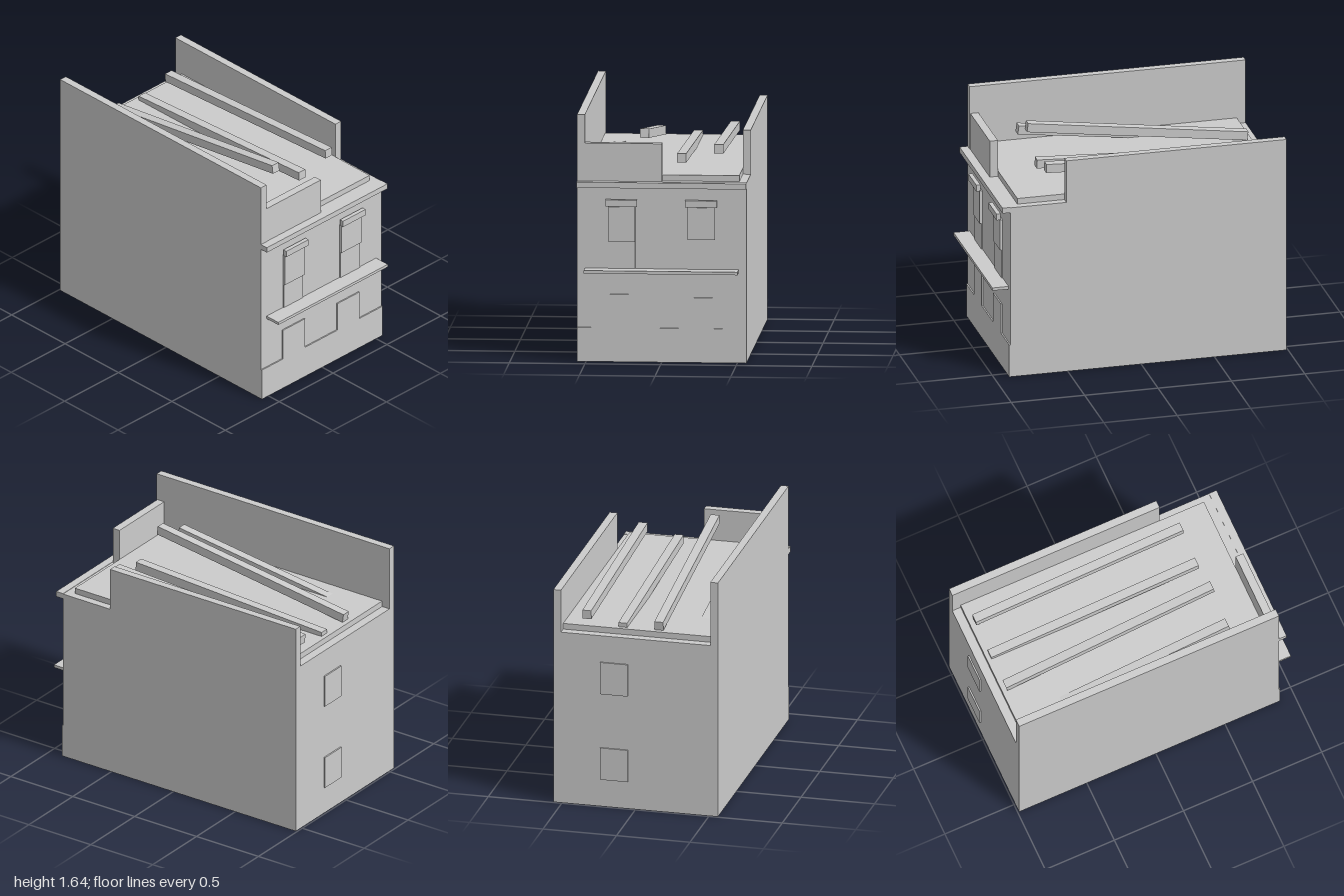
import * as THREE from 'three';

export function createModel() {
  const model = new THREE.Group();
  model.name = 'ruinedTownhouse';
  const plaster = new THREE.MeshStandardMaterial({ color: 0xcccccc });
  plaster.name = 'pale grey plaster';

  // Box given by its extents along each axis
  function block(name, x0, x1, y0, y1, z0, z1) {
    const mesh = new THREE.Mesh(new THREE.BoxGeometry(x1 - x0, y1 - y0, z1 - z0), plaster);
    mesh.position.set((x0 + x1) / 2, (y0 + y1) / 2, (z0 + z1) / 2);
    mesh.name = name;
    model.add(mesh);
    return mesh;
  }

  // Main body, party walls and roof
  block('body', -0.56, 0.56, 0, 1.2, -0.99, 0.89);
  block('tallSideWall', -0.56, -0.508, 1.2, 1.645, -0.99, 0.89);
  block('brokenSideWall', 0.508, 0.56, 1.2, 1.495, -0.99, 0.51);
  block('frontParapet', -0.508, 0, 1.2, 1.455, 0.83, 0.885);
  block('roofDeck', -0.508, 0.508, 1.2, 1.24, -0.93, 0.83);

  // Facade mouldings
  block('cornice', -0.56, 0.56, 1.165, 1.203, 0.89, 0.945);
  block('sillLedge', -0.508, 0.508, 0.602, 0.622, 0.89, 1.0);

  // Front windows: lower pane, raised upper shutter, lintel
  for (const [x0, x1, split] of [[-0.355, -0.175, 0.803], [0.17, 0.353, 0.82]]) {
    block('windowPane', x0, x1, 0.622, split, 0.89, 0.897);
    block('windowShutter', x0, x1, split, 1.035, 0.89, 0.908);
    block('windowLintel', x0 - 0.014, x1 + 0.013, 1.04, 1.085, 0.907, 0.935);
  }

  // Plinth with two raised door panels, cut as one outline
  const outline = [
    [-0.56, 0], [0.56, 0], [0.56, 0.227], [0.345, 0.227], [0.345, 0.433], [0.14, 0.433],
    [0.14, 0.227], [-0.16, 0.227], [-0.16, 0.45], [-0.365, 0.45], [-0.365, 0.227], [-0.56, 0.227],
  ];
  const shape = new THREE.Shape(outline.map(([x, y]) => new THREE.Vector2(x, y)));
  const plinth = new THREE.Mesh(
    new THREE.ExtrudeGeometry(shape, { depth: 0.009, bevelEnabled: false }), plaster);
  plinth.position.z = 0.89;
  plinth.name = 'plinthAndDoors';
  model.add(plinth);

  // Back windows
  for (const [y0, y1] of [[0.19, 0.413], [0.792, 1.015]]) {
    block('backWindow', 0.053, 0.24, y0, y1, -1.0, -0.99);
  }

  // Fallen roof beams: centre x, top height at the front and back ends
  const zFront = 0.6, zBack = -0.9, thick = 0.06;
  for (const [x, front, back] of [
    [-0.377, 1.4, 1.2], [-0.135, 1.51, 1.3], [0.11, 1.347, 1.27], [0.355, 1.41, 1.335],
  ]) {
    const length = Math.hypot(zFront - zBack, front - back);
    const beam = new THREE.Mesh(new THREE.BoxGeometry(thick, thick, length), plaster);
    beam.position.set(x, (front + back) / 2 - thick / 2, (zFront + zBack) / 2);
    beam.rotation.x = -Math.atan2(front - back, zFront - zBack);
    beam.name = 'roofBeam';
    model.add(beam);
  }

  return model;
}
